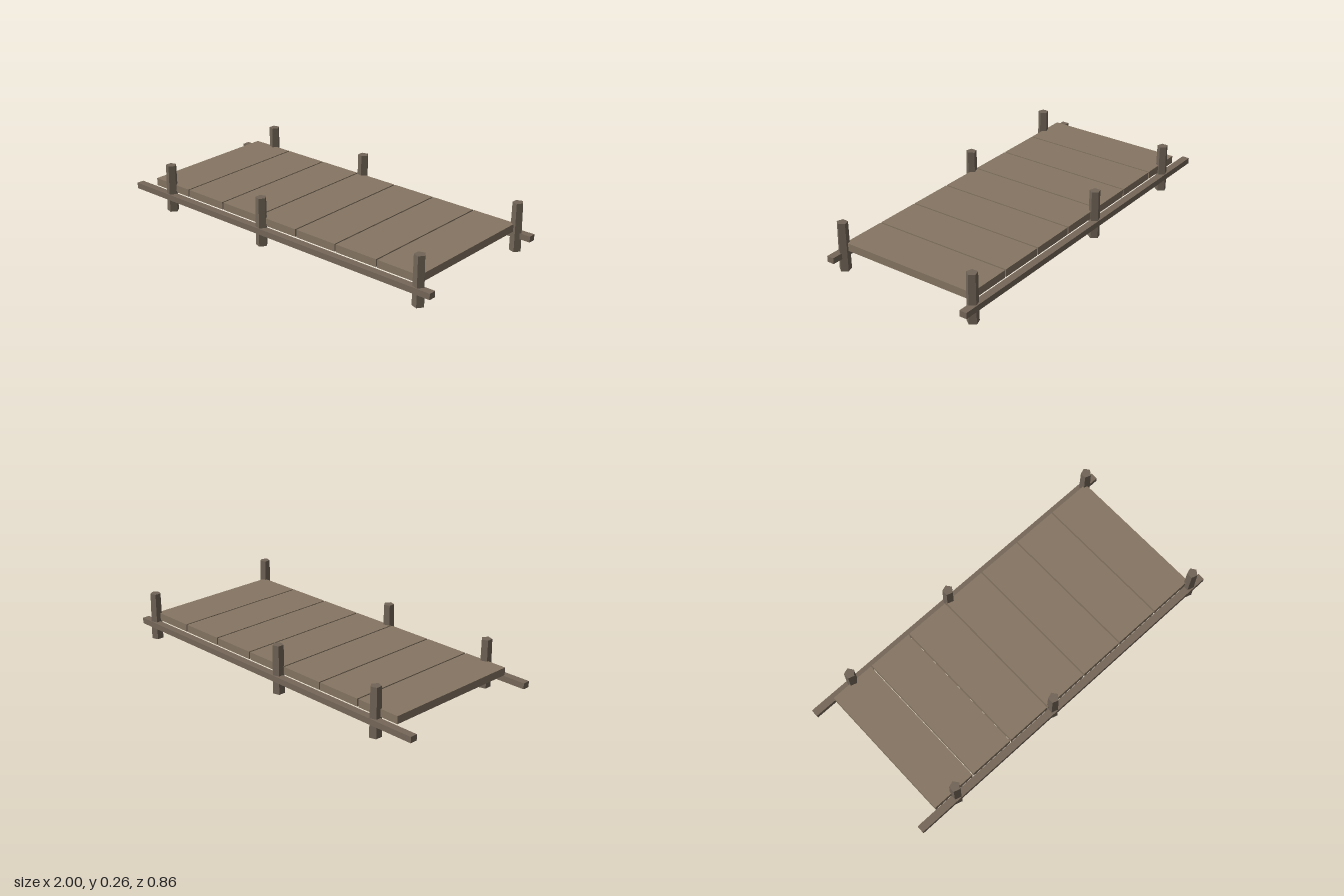
import * as THREE from 'three';

const material = (color) => new THREE.MeshStandardMaterial({ color, flatShading: true });

export function createModel() {
  const model = new THREE.Group();
  model.name = 'plankWalkway';
  const plankMat = material(0x857562);
  const beamMat = material(0x76685a);
  const postMat = material(0x716557);

  const add = (name, geometry, mat, x, y, z) => {
    const mesh = new THREE.Mesh(geometry, mat);
    mesh.name = name;
    mesh.position.set(x, y, z);
    model.add(mesh);
  };

  // Seven deck planks with narrow gaps
  const plankGeo = new THREE.BoxGeometry(0.249, 0.041, 0.78);
  for (let i = 0; i < 7; i++) {
    add('plank' + (i + 1), plankGeo, plankMat, -0.756 + i * 0.257, 0.1265, 0);
  }

  // Five-sided, slightly tapered posts with one corner towards +x
  const postGeo = new THREE.CylinderGeometry(0.0285, 0.032, 0.26, 5);
  postGeo.rotateY(Math.PI / 2);
  const beamGeo = new THREE.BoxGeometry(2, 0.032, 0.04);

  // Each long side: one beam and three posts
  for (const [side, s] of [['front', 1], ['back', -1]]) {
    add(side + 'Beam', beamGeo, beamMat, 0, 0.084, s * 0.41);
    [-0.75, -0.083, 0.915].forEach((x, i) => {
      add(side + 'Post' + (i + 1), postGeo, postMat, x, 0.13, s * 0.398);
    });
  }
  return model;
}
